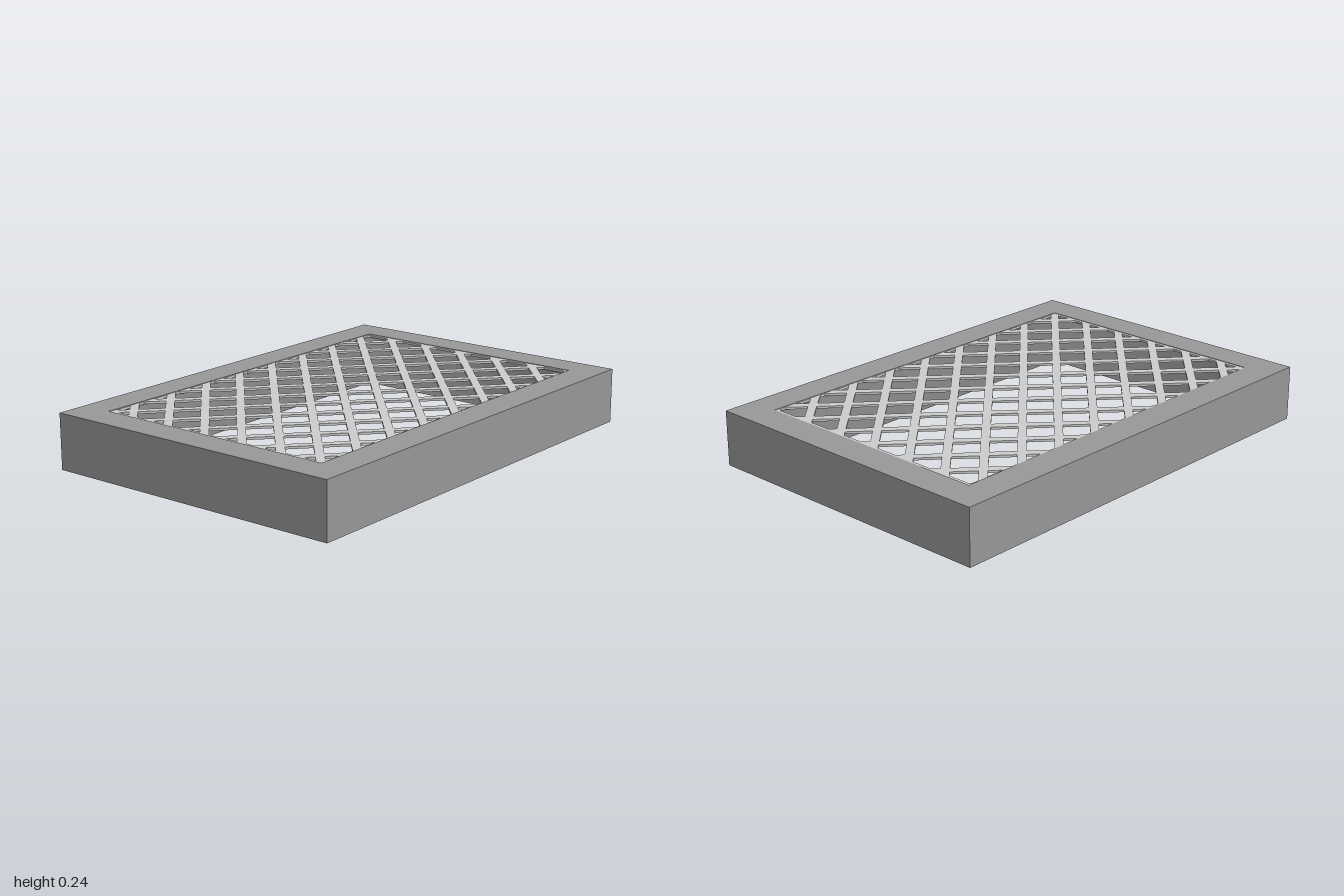
import * as THREE from 'three';

const HEIGHT = 0.242;
const OUTER = { x: 1, z: 0.695 };
const INNER = { x: 0.86, z: 0.555 };

function rectPath(PathType, { x, z }) {
  return new PathType([
    new THREE.Vector2(-x, -z), new THREE.Vector2(x, -z),
    new THREE.Vector2(x, z), new THREE.Vector2(-x, z),
  ]);
}

function ringShape(outer, inner) {
  const shape = rectPath(THREE.Shape, outer);
  shape.holes.push(rectPath(THREE.Path, inner));
  return shape;
}

function addMesh(parent, name, geometry, material) {
  const mesh = new THREE.Mesh(geometry, material);
  mesh.name = name;
  parent.add(mesh);
  return mesh;
}

// Four upright walls around a rectangle; normals stay rounded at the corners
function wallGeometry({ x, z }) {
  const geometry = new THREE.CylinderGeometry(
    Math.SQRT2, Math.SQRT2, HEIGHT, 4, 1, true, Math.PI / 4);
  geometry.attributes.position.applyMatrix4(
    new THREE.Matrix4().makeScale(x, 1, z).setPosition(0, HEIGHT / 2, 0));
  return geometry;
}

export function createModel() {
  const group = new THREE.Group();
  group.name = 'ventGrille';
  const frameColor = 0x979797;
  const frameMaterial = new THREE.MeshStandardMaterial({ color: frameColor, flatShading: true });
  const innerMaterial = new THREE.MeshStandardMaterial({ color: frameColor, side: THREE.BackSide });
  const latticeMaterial = new THREE.MeshStandardMaterial({ color: 0xcccccc });

  // Deep open frame: outer sides, softly shaded inner sides, top and bottom
  const frame = new THREE.Group();
  frame.name = 'frame';
  addMesh(frame, 'outerWall', wallGeometry(OUTER), frameMaterial);
  addMesh(frame, 'innerWall', wallGeometry(INNER), innerMaterial);
  for (const side of [-1, 1]) {
    const face = new THREE.ShapeGeometry(ringShape(OUTER, INNER));
    face.rotateX(-side * Math.PI / 2);
    const mesh = addMesh(frame, side > 0 ? 'frameTop' : 'frameBottom', face, frameMaterial);
    mesh.position.y = side > 0 ? HEIGHT : 0;
  }
  group.add(frame);

  // Thin lattice set just under the top of the opening
  const lattice = new THREE.Group();
  lattice.name = 'lattice';
  const thickness = 0.01;
  const top = HEIGHT - 0.002;
  const rim = new THREE.ExtrudeGeometry(
    ringShape({ x: 0.87, z: 0.565 }, { x: 0.845, z: 0.549 }),
    { depth: thickness, bevelEnabled: false });
  rim.rotateX(-Math.PI / 2);
  addMesh(lattice, 'latticeRim', rim, latticeMaterial).position.y = top - thickness;

  // Diagonal bars, their ends buried in the frame
  const pitch = 0.214;
  const slope = 0.195 / pitch;
  const barWidth = 0.036;
  const limit = { x: INNER.x + 0.02, z: INNER.z + 0.02 };
  for (const side of [-1, 1]) {
    for (let k = -8; k <= 8; k++) {
      const cross = -0.037 + k * pitch;
      const x0 = Math.max(-limit.x, cross - limit.z / slope);
      const x1 = Math.min(limit.x, cross + limit.z / slope);
      if (x1 - x0 < 0.05) continue;
      const length = (x1 - x0) * Math.hypot(1, slope);
      const mid = (x0 + x1) / 2;
      const bar = addMesh(lattice, 'latticeBar',
        new THREE.BoxGeometry(length, thickness, barWidth), latticeMaterial);
      bar.position.set(mid, top - thickness / 2, side * slope * (mid - cross));
      bar.rotation.y = -side * Math.atan(slope);
    }
  }
  group.add(lattice);
  return group;
}
